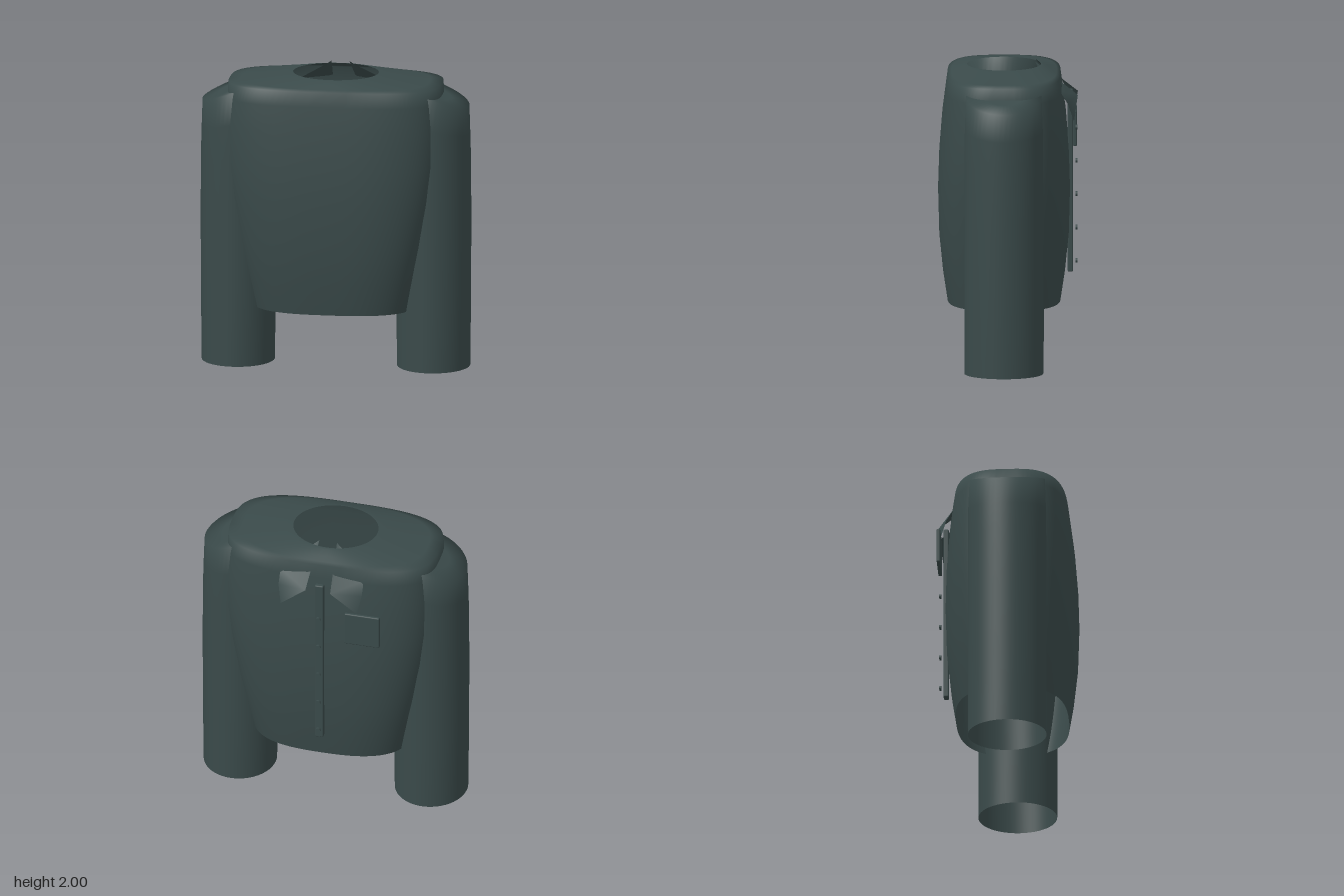
import * as THREE from 'three';
import { RoundedBoxGeometry } from 'three/addons/geometries/RoundedBoxGeometry.js';

const CENTRE_Z = 0.025;

// Skin through superellipse rings, listed bottom to top:
// { x: centre, y: height, a: half width, b: half depth, p: squareness, tilt: drop per unit of x }
function loft(rings, sides = 64) {
  const positions = [], index = [];
  for (const { x = 0, y, a, b, p = 2, tilt = 0 } of rings) {
    for (let i = 0; i < sides; i++) {
      const t = (i / sides) * Math.PI * 2, c = Math.cos(t), s = Math.sin(t);
      const dx = a * Math.sign(c) * Math.abs(c) ** (2 / p);
      const dz = b * Math.sign(s) * Math.abs(s) ** (2 / p);
      positions.push(x + dx, y - tilt * dx, CENTRE_Z + dz);
    }
  }
  for (let r = 0; r < rings.length - 1; r++) {
    for (let i = 0; i < sides; i++) {
      const j = (i + 1) % sides, lo = r * sides, hi = lo + sides;
      index.push(lo + i, hi + i, lo + j, hi + i, hi + j, lo + j);
    }
  }
  const geometry = new THREE.BufferGeometry();
  geometry.setAttribute('position', new THREE.Float32BufferAttribute(positions, 3));
  geometry.setIndex(index);
  geometry.computeVertexNormals();
  return geometry;
}

// Folded sheet: a fan of triangles around the first point
function fan(points) {
  const positions = points.flat(), index = [];
  for (let i = 1; i < points.length - 1; i++) index.push(0, i, i + 1);
  const geometry = new THREE.BufferGeometry();
  geometry.setAttribute('position', new THREE.Float32BufferAttribute(positions, 3));
  geometry.setIndex(index);
  geometry.computeVertexNormals();
  return geometry;
}

export function createModel() {
  const group = new THREE.Group();
  group.name = 'jacket';
  const cloth = new THREE.MeshStandardMaterial({ color: 0x3a4a4a, side: THREE.DoubleSide });
  cloth.name = 'dark slate cloth';

  const add = (name, geometry, x = 0, y = 0, z = 0) => {
    const mesh = new THREE.Mesh(geometry, cloth);
    mesh.name = name;
    mesh.position.set(x, y, z);
    group.add(mesh);
    return mesh;
  };

  // Body, open at the hem and the neck
  add('body', loft([
    { y: 0.4, a: 0.54, b: 0.375, p: 2.7 },
    { y: 0.6, a: 0.585, b: 0.405, p: 2.8 },
    { y: 0.85, a: 0.64, b: 0.43, p: 2.9 },
    { y: 1.15, a: 0.7, b: 0.438, p: 2.9 },
    { y: 1.4, a: 0.73, b: 0.43, p: 3 },
    { y: 1.65, a: 0.735, b: 0.41, p: 3.1 },
    { y: 1.82, a: 0.715, b: 0.388, p: 3.3 },
    { y: 1.92, a: 0.71, b: 0.375, p: 3.1 },
    { y: 1.932, a: 0.63, b: 0.35, p: 2.7 },
    { y: 1.952, a: 0.48, b: 0.31, p: 2.3 },
    { y: 1.972, a: 0.34, b: 0.265, p: 2 },
    { y: 1.976, a: 0.285, b: 0.245, p: 2 },
  ], 96));

  for (const side of [1, -1]) {
    const name = side > 0 ? 'left' : 'right';

    // Sleeve, open at the cuff, with a slanted shoulder cap
    add(name + 'Sleeve', loft([
      { y: 0, a: 0.243, b: 0.262 },
      { y: 0.5, a: 0.248, b: 0.262 },
      { y: 1.0, a: 0.25, b: 0.262 },
      { y: 1.4, a: 0.248, b: 0.262 },
      { y: 1.65, a: 0.243, b: 0.26, tilt: side * 0.25 },
      { y: 1.865, a: 0.237, b: 0.25, tilt: side * 0.38 },
      { y: 1.866, a: 0.12, b: 0.13, tilt: side * 0.38 },
      { y: 1.867, a: 0.001, b: 0.001, tilt: side * 0.38 },
    ].map((ring) => ({ ...ring, x: side * 0.655 })), 48));

    // Collar point: a folded flap whose root is tucked through the neck edge
    add(name + 'Collar', fan([
      [0.085, 1.78, -0.465], [0.26, 1.63, -0.44], [0.285, 1.75, -0.4],
      [0.285, 1.84, -0.345], [0.1, 1.97, -0.2], [0.06, 2.0, -0.183],
    ].map(([x, y, z]) => [side * x, y, z])));
  }

  // Button strip and buttons
  add('placket', new RoundedBoxGeometry(0.06, 1.225, 0.035, 2, 0.008), 0, 1.193, -0.415);
  for (let i = 0; i < 5; i++) {
    const button = add('button' + (i + 1),
      new THREE.CylinderGeometry(0.016, 0.016, 0.013, 16), 0, 1.55 - i * 0.224, -0.455);
    button.rotation.x = Math.PI / 2;
  }

  // Chest pocket
  add('pocket', new RoundedBoxGeometry(0.24, 0.24, 0.025, 2, 0.008), -0.3, 1.51, -0.445);

  return group;
}
